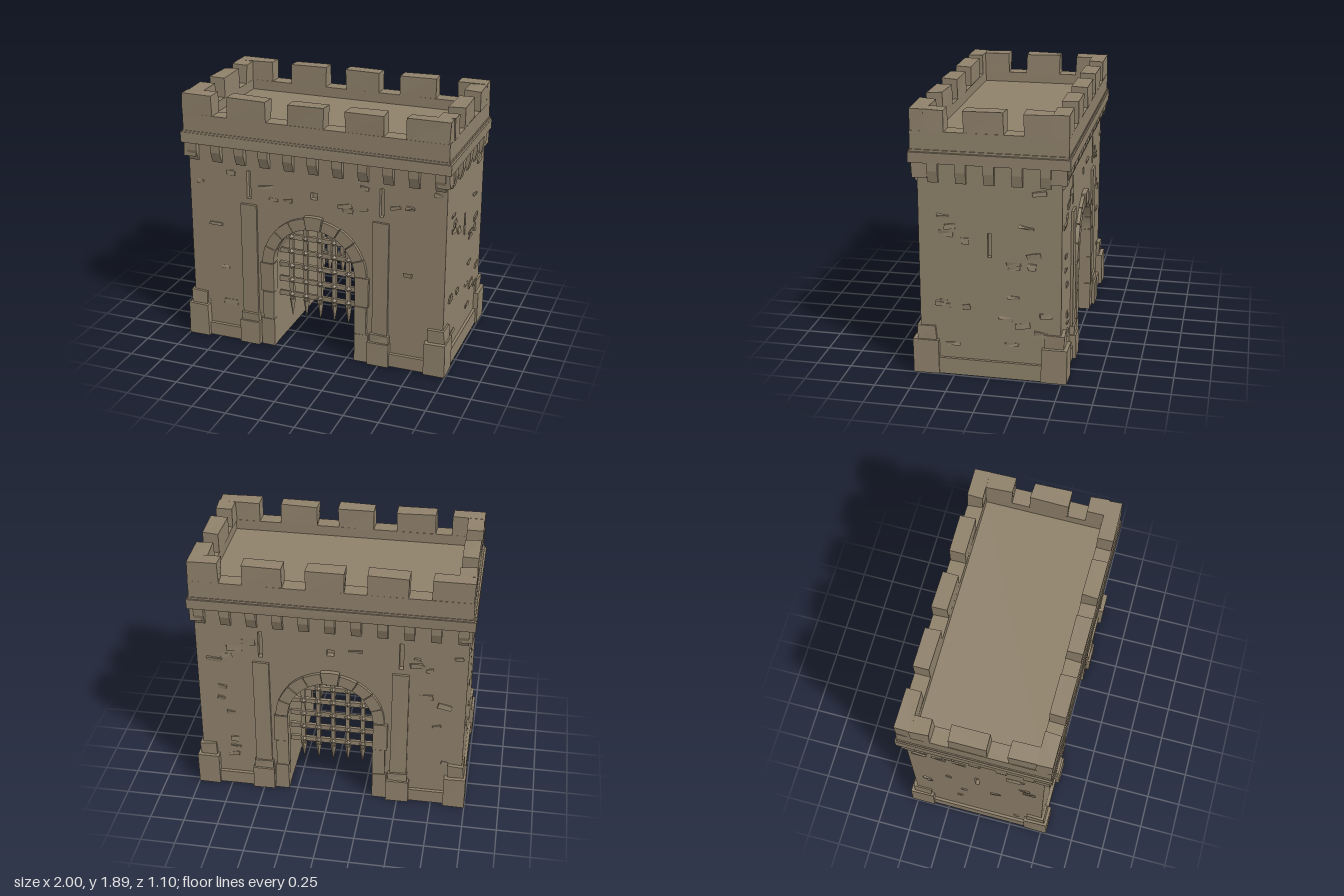
import * as THREE from 'three';

export function createModel() {
  const stone = new THREE.MeshStandardMaterial({ color: 0x8f816b });
  const model = new THREE.Group();
  model.name = 'castleGatehouse';

  let seed = 7;
  const rand = () => (seed = (seed * 16807) % 2147483647) / 2147483647;

  const group = (name, parent = model) => {
    const g = new THREE.Group();
    g.name = name;
    parent.add(g);
    return g;
  };
  const add = (geo, name, parent) => {
    const flat = geo.index ? geo.toNonIndexed() : geo;
    flat.computeVertexNormals();
    const m = new THREE.Mesh(flat, stone);
    m.name = name;
    parent.add(m);
    return m;
  };

  // Hewn block between two corners; rough shifts its eight corners a little
  function block(parent, name, x0, x1, y0, y1, z0, z1, rough = 0) {
    const geo = new THREE.BoxGeometry(1, 1, 1);
    const p = geo.attributes.position;
    const shift = Array.from({ length: 8 }, () => [0, 0, 0].map(() => (rand() - 0.5) * 2 * rough));
    for (let i = 0; i < p.count; i++) {
      const a = p.getX(i) > 0, b = p.getY(i) > 0, c = p.getZ(i) > 0;
      const s = shift[a + 2 * b + 4 * c];
      p.setXYZ(i, (a ? x1 : x0) + s[0], (b ? y1 : y0) + (b ? s[1] : 0), (c ? z1 : z0) + s[2]);
    }
    return add(geo, name, parent);
  }

  // Prism: a polygon extruded along z from z0 by depth
  function prism(parent, name, pts, z0, depth, holes = []) {
    const shape = Array.isArray(pts) ? new THREE.Shape(pts.map(([x, y]) => new THREE.Vector2(x, y))) : pts;
    for (const [x0, x1, y0, y1] of holes) {
      const h = new THREE.Path();
      h.moveTo(x0, y0).lineTo(x0, y1).lineTo(x1, y1).lineTo(x1, y0).closePath();
      shape.holes.push(h);
    }
    const geo = new THREE.ExtrudeGeometry(shape, { depth, bevelEnabled: false, curveSegments: 16 });
    geo.translate(0, 0, z0);
    return add(geo, name, parent);
  }

  const R = 0.315, SPRING = 0.665, WX = 0.965, WZ = 0.49, TOP = 1.56;

  function gateShape(hw) {
    const s = new THREE.Shape();
    s.moveTo(-hw, 0).lineTo(-R, 0).lineTo(-R, SPRING);
    s.absarc(0, SPRING, R, Math.PI, 0, true);
    s.lineTo(R, 0).lineTo(hw, 0).lineTo(hw, TOP).lineTo(-hw, TOP).closePath();
    return s;
  }

  // Main walls: core with the passage, and outer skins with arrow slits
  const walls = group('walls');
  prism(walls, 'wallCore', gateShape(0.93), -0.45, 0.9);
  const slits = [[-0.515, -0.485, 1.14, 1.35], [0.485, 0.515, 1.14, 1.35], [-0.025, 0.025, 1.2, 1.25]];
  prism(walls, 'frontWall', gateShape(WX), 0.45, WZ - 0.45, slits);
  prism(walls, 'backWall', gateShape(WX), -WZ, WZ - 0.45, slits);
  for (const s of [-1, 1]) {
    const side = prism(walls, 'sideWall', [[-0.45, 0], [0.45, 0], [0.45, TOP], [-0.45, TOP]], 0, 0.035,
      [[-0.014, 0.014, 0.88, 1.05]]);
    side.rotation.y = s * Math.PI / 2;
    side.position.x = s * 0.93;
  }

  // Shallow chipped stones scattered over the walls
  const chips = group('chippedStones');
  function chip(onSide, sign) {
    const u = (rand() * 2 - 1) * (onSide ? 0.42 : 0.9), y = 0.2 + rand() * 1.16;
    const w = 0.02 + rand() * 0.035, h = 0.008 + rand() * 0.014;
    if (!onSide && Math.abs(u) < 0.66 && y < 1.14) return;
    if (!onSide && Math.abs(Math.abs(u) - 0.5) < 0.08) return;
    if (Math.abs(u) < 0.1) return;
    const m = block(chips, 'chip', -w, w, -h, h, -0.004, 0.008, 0.006);
    m.rotation.set(0, onSide ? sign * Math.PI / 2 : (sign > 0 ? 0 : Math.PI), (rand() - 0.5) * 0.4, 'YXZ');
    m.position.set(onSide ? sign * WX : u, y, onSide ? u : sign * WZ);
  }
  for (const sign of [-1, 1]) {
    for (let i = 0; i < 55; i++) chip(false, sign);
    for (let i = 0; i < 26; i++) chip(true, sign);
  }

  // Plinth, corner bases, pilasters and arch, mirrored to all four quarters
  const footing = group('footing');
  const arch = group('archSurrounds');
  // Base block with a sloping top on its outer edges
  function baseBlock(name, x0, x1, z0, z1, low, high) {
    block(footing, name, x0, x1, 0, low, z0, z1, 0.004);
    block(footing, name + 'Cap', x0 + 0.01, x1 - 0.012, low, high, z0, z1 - 0.022, 0.004);
  }
  const span = (s, a, b) => (s > 0 ? [a, b] : [-b, -a]);
  for (const sz of [-1, 1]) {
    for (const sx of [-1, 1]) {
      block(footing, 'cornerBase', ...span(sx, 0.84, 0.998), 0, 0.25, ...span(sz, 0.36, 0.54), 0.004);
      block(footing, 'cornerBaseCap', ...span(sx, 0.86, 0.98), 0.25, 0.35, ...span(sz, 0.38, 0.515), 0.006);
      block(footing, 'frontPlinth', ...span(sx, 0.55, 0.86), 0, 0.1, ...span(sz, 0.46, 0.515));
      block(footing, 'pilasterBase', ...span(sx, 0.42, 0.58), 0, 0.18, ...span(sz, 0.46, 0.54), 0.004);
      block(footing, 'pilasterBaseCap', ...span(sx, 0.43, 0.57), 0.18, 0.24, ...span(sz, 0.46, 0.525), 0.004);
      block(arch, 'pilaster', ...span(sx, 0.44, 0.56), 0.2, 1.1, ...span(sz, 0.46, 0.508), 0.003);
      // Jamb stones beside the opening
      [0, 0.22, 0.44, SPRING].forEach((y, i, ys) => {
        if (i < 3) block(arch, 'jambStone', ...span(sx, R - 0.003, i % 2 ? 0.4 : 0.415), y, ys[i + 1] - 0.004,
          ...span(sz, 0.44, 0.516), 0.003);
      });
    }
    // Arch stones around the opening, with a raised keystone
    const count = 9;
    for (let i = 0; i < count; i++) {
      const key = i === 4, a0 = Math.PI * i / count + 0.008, a1 = Math.PI * (i + 1) / count - 0.008;
      const ro = key ? 0.412 : 0.39 + rand() * 0.01;
      const s = new THREE.Shape();
      s.absarc(0, SPRING, ro, a0, a1, false);
      s.absarc(0, SPRING, R - 0.004, a1, a0, true);
      const d = key ? 0.085 : 0.072 + rand() * 0.006;
      prism(arch, key ? 'keystone' : 'archStone', s, sz > 0 ? 0.44 : -0.44 - d, d);
    }
  }
  for (const s of [-1, 1]) block(footing, 'sidePlinth', ...span(s, 0.93, 0.985), 0, 0.12, -0.38, 0.38);

  // Portcullis at each end of the passage
  function portcullis(z) {
    const g = group('portcullis');
    const cols = [-0.22, -0.11, 0, 0.11, 0.22], rows = [0.385, 0.5, 0.615, 0.73, 0.845];
    const half = y => (y < SPRING ? R : Math.sqrt(R * R - (y - SPRING) ** 2));
    for (const x of cols) {
      const top = SPRING + Math.sqrt(R * R - x * x);
      block(g, 'verticalBar', x - 0.015, x + 0.015, 0.34, top, z - 0.015, z + 0.015, 0.003);
      const spike = add(new THREE.ConeGeometry(0.025, 0.15, 4), 'spike', g);
      spike.rotation.x = Math.PI;
      spike.position.set(x, 0.275, z);
      for (const y of rows) {
        if (Math.abs(x) + 0.03 > half(y)) continue;
        const stud = add(new THREE.OctahedronGeometry(0.038), 'stud', g);
        stud.position.set(x, y, z);
      }
    }
    for (const y of rows) {
      block(g, 'crossBar', -half(y), half(y), y - 0.018, y + 0.018, z - 0.012, z + 0.012, 0.003);
    }
  }
  portcullis(0.38);
  portcullis(-0.38);

  // Wedge corbels under the ledge
  const corbels = group('corbels');
  function corbel(x, z, turn, depth) {
    const m = prism(corbels, 'corbel', [[-0.04, 1.39], [0.012, 1.39], [depth, 1.47], [depth, 1.53], [-0.04, 1.53]], -0.036, 0.072);
    m.rotation.y = turn;
    m.position.set(x, 0, z);
  }
  for (const s of [-1, 1]) {
    for (let i = -5; i <= 5; i++) corbel(i * 0.184, s * WZ, -s * Math.PI / 2, 0.045);
    for (let i = -2; i <= 2; i++) corbel(s * WX, i * 0.19, s > 0 ? 0 : Math.PI, 0.03);
    for (const t of [-1, 1]) {
      block(corbels, 'cornerCorbel', ...span(s, 0.9, 0.985), 1.42, 1.53, ...span(t, 0.42, 0.525), 0.006);
    }
  }

  // Ledge, roof deck and parapet
  const parapet = group('parapet');
  block(parapet, 'ledge', -0.998, 0.998, 1.525, 1.6, -0.545, 0.545, 0.003);
  block(parapet, 'ledgeTopCourse', -0.988, 0.988, 1.6, 1.615, -0.538, 0.538);
  block(parapet, 'roofDeck', -0.88, 0.88, 1.6, 1.665, -0.44, 0.44);
  const OX = 0.98, OZ = 0.533, IX = 0.86, IZ = 0.42;
  for (const s of [-1, 1]) {
    block(parapet, 'longParapet', -OX, OX, 1.6, 1.74, ...span(s, IZ, OZ));
    block(parapet, 'shortParapet', ...span(s, IX, OX), 1.6, 1.74, -IZ, IZ);
  }

  // Merlons fill the stretches between gaps
  const merlons = group('merlons');
  function row(gaps, end, place) {
    const e = [-end, ...gaps, end];
    for (let i = 0; i < e.length; i += 2) place(e[i], e[i + 1]);
  }
  const M = 'merlon', r = 0.005;
  row([-0.75, -0.63, -0.34, -0.175, 0.09, 0.245, 0.52, 0.68], OX,
    (a, b) => block(merlons, M, a, b, 1.735, 1.888, IZ, OZ, r));
  row([-0.70, -0.54, -0.26, -0.1, 0.16, 0.325, 0.6, 0.765], OX,
    (a, b) => block(merlons, M, a, b, 1.735, 1.888, -OZ, -IZ, r));
  row([-0.30, -0.17, 0.09, 0.235], IZ + 0.01,
    (a, b) => block(merlons, M, -OX, -IX, 1.735, 1.886, a, b, r));
  row([-0.235, -0.1, 0.17, 0.30], IZ + 0.01,
    (a, b) => block(merlons, M, IX, OX, 1.735, 1.886, a, b, r));

  return model;
}
